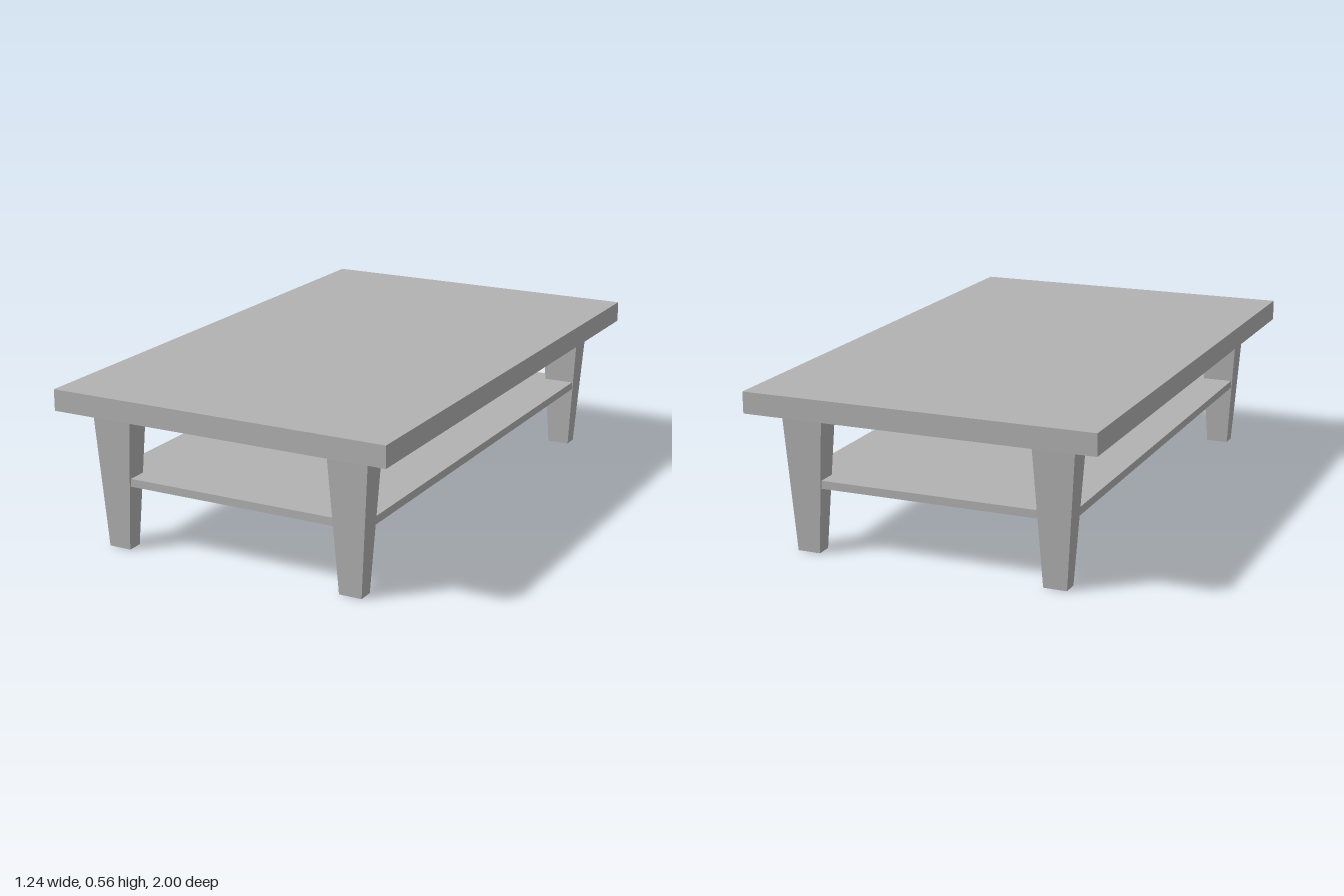
import * as THREE from 'three';

const TOP_Y = 0.49; // underside of the tabletop

function box(name, material, w, h, d, bottom) {
  const geometry = new THREE.BoxGeometry(w, h, d).translate(0, bottom + h / 2, 0);
  const mesh = new THREE.Mesh(geometry, material);
  mesh.name = name;
  return mesh;
}

// Box leg, narrowed towards the foot
function taperedLeg() {
  const g = new THREE.BoxGeometry(0.148, TOP_Y, 0.096).translate(0, TOP_Y / 2, 0);
  const p = g.attributes.position;
  for (let i = 0; i < p.count; i++) {
    if (p.getY(i) < 0.01) {
      p.setX(i, Math.sign(p.getX(i)) * 0.041);
      p.setZ(i, Math.sign(p.getZ(i)) * 0.028);
    }
  }
  g.computeVertexNormals();
  return g;
}

export function createModel() {
  const table = new THREE.Group();
  table.name = 'coffeeTable';
  const grey = new THREE.MeshStandardMaterial({ color: 0xb2b2b2 });
  grey.name = 'grey';

  table.add(box('tabletop', grey, 1.24, 0.075, 2, TOP_Y));

  // Lower shelf, its edges almost flush with the outer leg faces
  table.add(box('shelf', grey, 1.0, 0.028, 1.82, 0.232));

  const legGeometry = taperedLeg();
  for (const [zName, z] of [['front', 1], ['back', -1]]) {
    for (const [xName, x] of [['Left', 1], ['Right', -1]]) {
      const leg = new THREE.Mesh(legGeometry, grey);
      leg.name = `${zName}${xName}Leg`;
      leg.position.set(x * 0.446, 0, z * 0.878);
      table.add(leg);
    }
  }
  return table;
}
